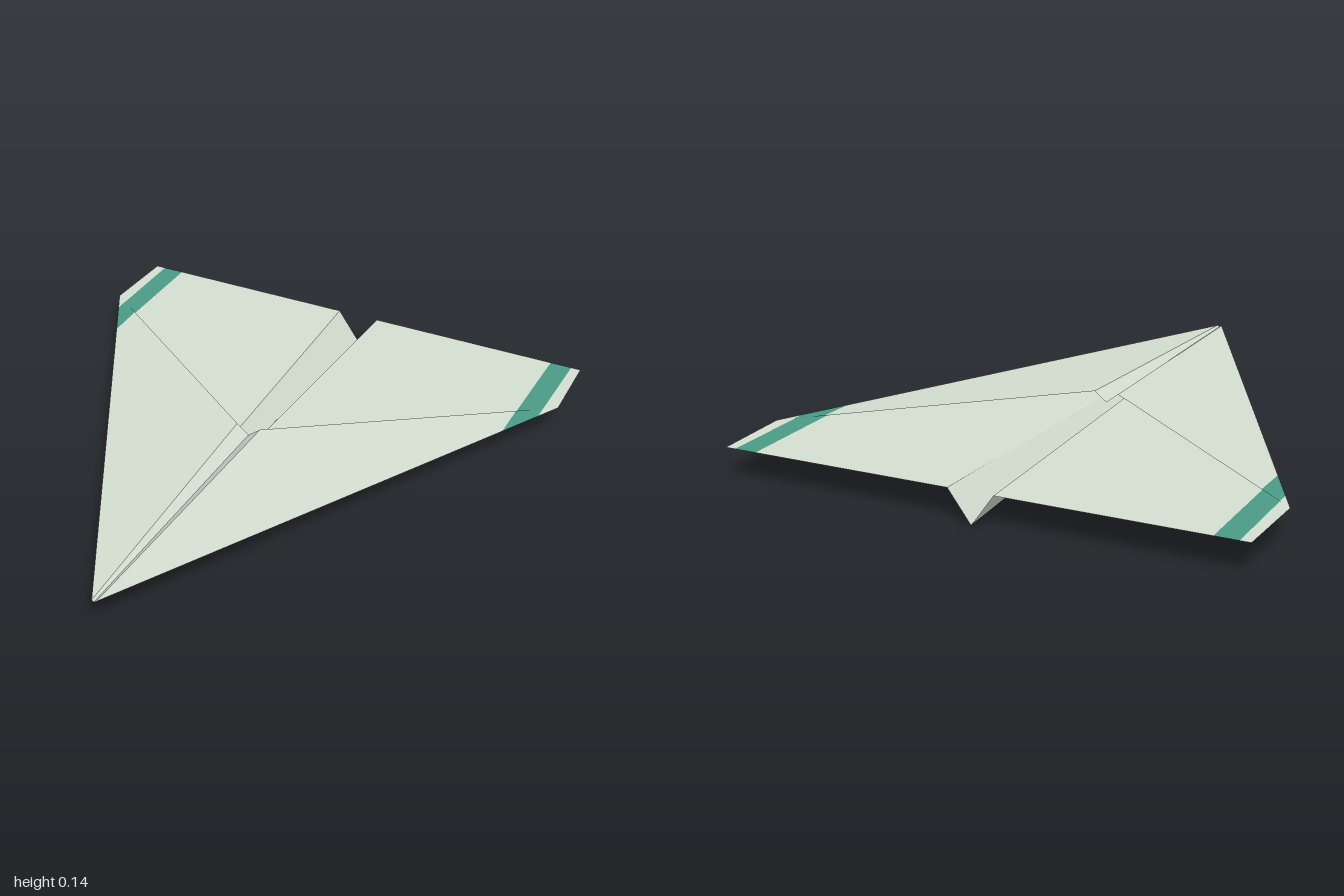
import * as THREE from 'three';

const paper = new THREE.MeshStandardMaterial({ color: 0xd3decf, side: THREE.DoubleSide, flatShading: true });
paper.name = 'pale green paper';
const teal = new THREE.MeshStandardMaterial({ color: 0x4a9a86, side: THREE.DoubleSide, flatShading: true });
teal.name = 'teal stripe';

// Keep the part of a convex polygon on one side of the line x = limit.
function clip(points, limit, sign) {
  const out = [];
  points.forEach((a, i) => {
    const b = points[(i + 1) % points.length];
    const da = sign * (a[0] - limit), db = sign * (b[0] - limit);
    if (da >= 0) out.push(a);
    if (da * db < 0) {
      const t = da / (da - db);
      out.push(a.map((v, k) => v + (b[k] - v) * t));
    }
  });
  return out;
}

// Flat convex sheet; side = -1 mirrors it across the centre fold.
function sheet(name, points, material, side) {
  const pts = points.map(([x, y, z]) => [x * side, y, z]);
  if (side < 0) pts.reverse();
  const geometry = new THREE.BufferGeometry();
  const corners = [];
  for (let i = 1; i < pts.length - 1; i++) corners.push(...pts[0], ...pts[i], ...pts[i + 1]);
  geometry.setAttribute('position', new THREE.Float32BufferAttribute(corners, 3));
  geometry.computeVertexNormals();
  const mesh = new THREE.Mesh(geometry, material);
  mesh.name = name;
  return mesh;
}

// Sheet divided into plain, striped and plain bands across the span.
function stripedSheet(name, points, side) {
  const group = new THREE.Group();
  group.name = name;
  const bands = [[0, 0.79, paper, 'Panel'], [0.79, 0.87, teal, 'Stripe'], [0.87, 1, paper, 'Tip']];
  for (const [x0, x1, material, part] of bands) {
    group.add(sheet(name + part, clip(clip(points, x0, 1), x1, -1), material, side));
  }
  return group;
}

export function createModel() {
  const model = new THREE.Group();
  model.name = 'paperPlane';

  const noseEdge = [0.008, 0.11, 1];
  const noseFold = [0, 0.105, 1];
  const wingTip = [0.916, 0.11, -0.71];
  const tailTip = [0.906, 0.11, -1];
  const tailRoot = [0.08, 0.11, -1];
  const keelTail = [0, 0, -1];
  const flapPeak = [0.045, 0.14, -0.05];
  const flapFold = [0, 0.105, -0.05];

  for (const side of [1, -1]) {
    const label = side > 0 ? 'left' : 'right';
    // Level wing and the V-shaped keel below it
    model.add(stripedSheet(label + 'Wing', [noseEdge, wingTip, tailTip, tailRoot], side));
    model.add(sheet(label + 'Keel', [noseFold, noseEdge, tailRoot, keelTail], paper, side));
    // Raised front fold and its inner face running down to the centre
    model.add(stripedSheet(label + 'Flap', [noseEdge, wingTip, flapPeak], side));
    model.add(sheet(label + 'InnerFold', [noseFold, noseEdge, flapPeak, flapFold], paper, side));
  }
  return model;
}
